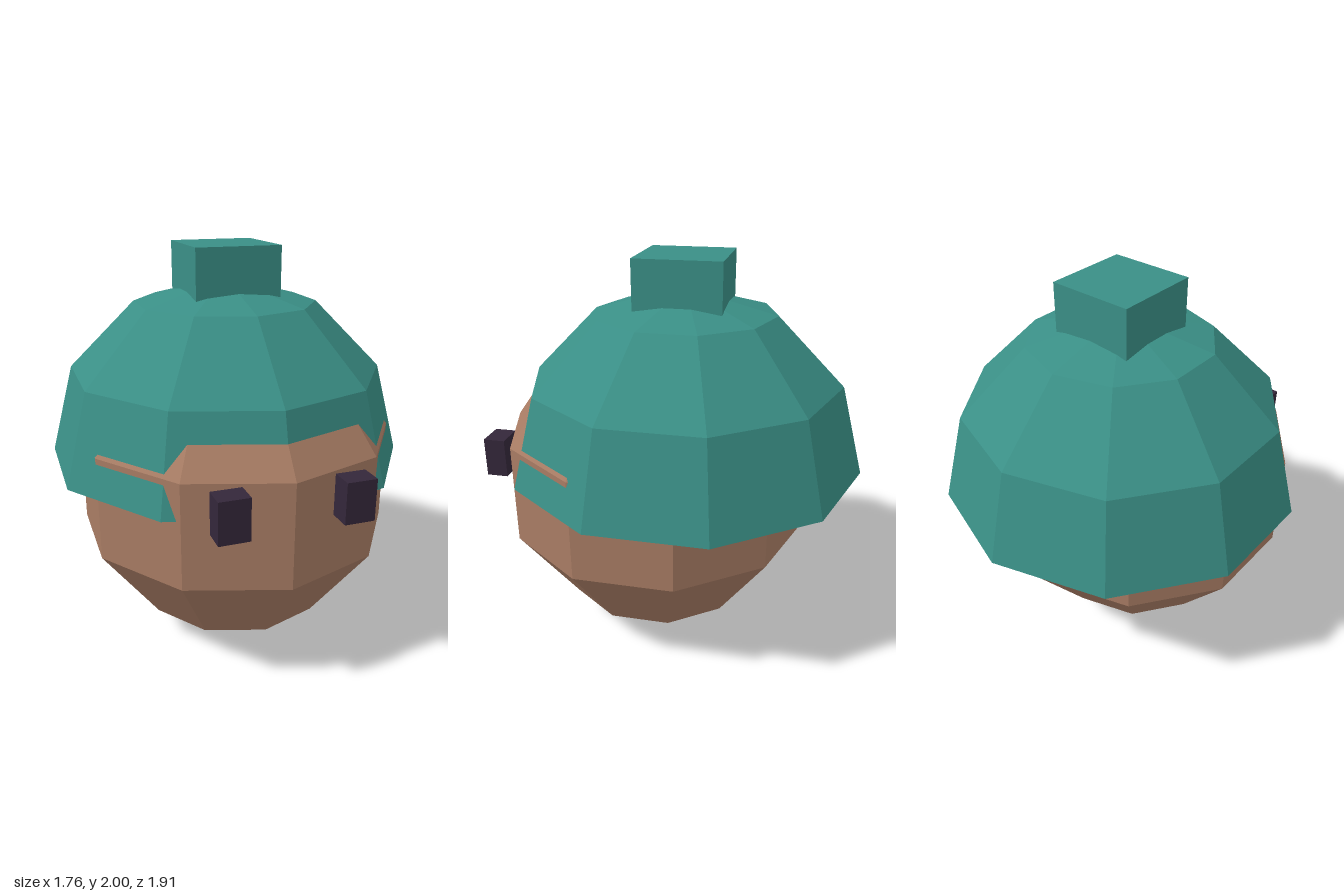
import * as THREE from 'three';

const flat = (name, color) => {
  const m = new THREE.MeshStandardMaterial({ color, flatShading: true });
  m.name = name;
  return m;
};

export function createModel() {
  const group = new THREE.Group();
  const skin = flat('brownSkin', 0xa87c64);
  const wool = flat('tealWool', 0x3a8f86);
  const dark = flat('darkEyes', 0x34273a);

  const add = (name, geometry, material, x, y, z) => {
    const mesh = new THREE.Mesh(geometry, material);
    mesh.name = name;
    mesh.position.set(x, y, z);
    group.add(mesh);
  };

  // Ten-sided head with a corner at the front; it pokes through the hat there
  add('head', new THREE.SphereGeometry(0.836, 10, 5, Math.PI / 2), skin, 0, 0.84, 0.118);

  // Hat dome with a flat underside
  const profile = [[0, 0.915], [0.927, 0.915], [0.803, 1.375], [0.463, 1.715], [0, 1.835]]
    .map(([r, y]) => new THREE.Vector2(r, y));
  add('hat', new THREE.LatheGeometry(profile, 10), wool, 0, 0, -0.028);

  // Square bobble on top
  add('hatBobble', new THREE.BoxGeometry(0.43, 0.3, 0.435), wool, 0, 1.85, -0.028);

  // Eyes
  for (const [name, side] of [['leftEye', 1], ['rightEye', -1]]) {
    add(name, new THREE.BoxGeometry(0.145, 0.2, 0.11), dark, side * 0.29, 0.985, 0.9);
  }

  return group;
}
